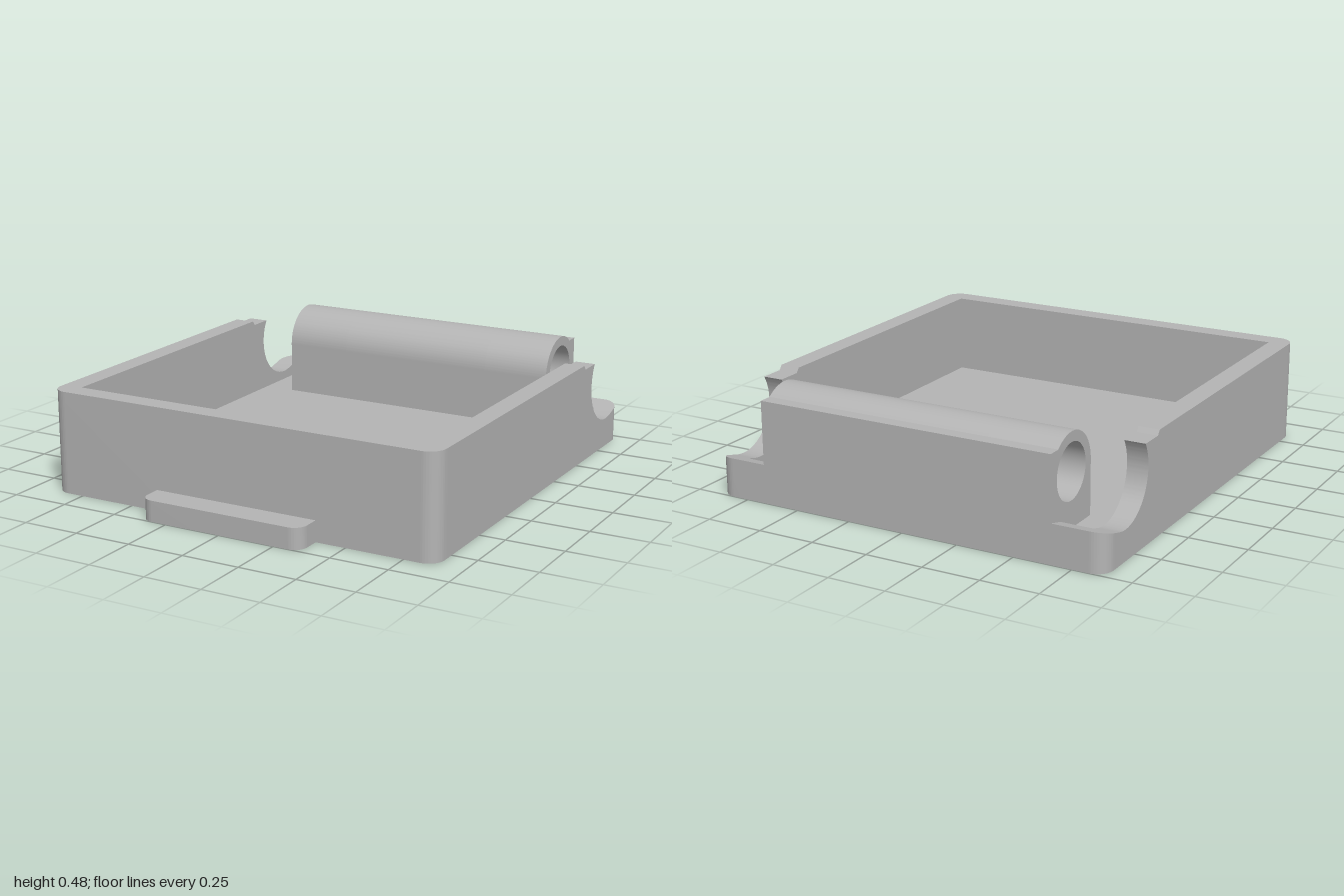
import * as THREE from 'three';
import { toCreasedNormals } from 'three/addons/utils/BufferGeometryUtils.js';

const W = 0.89, IN = 0.80;              // outer and inner half widths
const BACK = -1, FRONT = 0.88, WALL = 0.09;
const HEIGHT = 0.44, FLOOR = 0.09;
const HINGE = { u: 0.835, y: 0.32, r: 0.16, bore: 0.117, clear: 0.19, half: 0.66 };
const TILT = Math.PI / 12;              // slope of the slot behind the hinge

export function createModel() {
  const group = new THREE.Group();
  group.name = 'hingedTray';
  const grey = new THREE.MeshStandardMaterial({ color: 0xb4b4b4 });
  grey.name = 'grey';

  const add = (name, geo) => {
    const mesh = new THREE.Mesh(toCreasedNormals(geo, 0.5), grey);
    mesh.name = name;
    group.add(mesh);
  };
  const extrude = (shape, depth) =>
    new THREE.ExtrudeGeometry(shape, { depth, bevelEnabled: false, curveSegments: 32 });
  // side profile (u = -z, v = y) swept from x0 to x1
  const sweepX = (shape, x0, x1) => extrude(shape, x1 - x0).rotateY(Math.PI / 2).translate(x0, 0, 0);
  // plan outline (u = x, v = -z) raised from the ground
  const raise = (shape, h) => extrude(shape, h).rotateX(-Math.PI / 2);

  // bar with its two front corners rounded
  const roundedBar = (half, z0, z1, r, h) => {
    const s = new THREE.Shape();
    s.moveTo(half, -z0);
    s.lineTo(-half, -z0);
    s.lineTo(-half, -z1 + r);
    s.absarc(-half + r, -z1 + r, r, Math.PI, Math.PI * 1.5, false);
    s.absarc(half - r, -z1 + r, r, Math.PI * 1.5, Math.PI * 2, false);
    s.closePath();
    return raise(s, h);
  };

  // floor, front wall and front tab
  const z0 = BACK + 0.08, z1 = FRONT - WALL;
  add('floor', new THREE.BoxGeometry(IN * 2, FLOOR, z1 - z0).translate(0, FLOOR / 2, (z0 + z1) / 2));
  add('frontWall', roundedBar(W, z1, FRONT, 0.07, HEIGHT));
  add('frontTab', roundedBar(0.37, FRONT, 1, 0.055, 0.09));

  // side walls with the round clearance slot and a small step
  const tu = HINGE.u + HINGE.clear * Math.sin(TILT);
  const ty = HINGE.y - HINGE.clear * Math.cos(TILT);
  const slopeY = (u) => ty + (u - tu) * Math.tan(TILT);
  const side = new THREE.Shape();
  side.moveTo(-z1, 0);
  side.lineTo(-z0, 0);
  side.lineTo(-z0, slopeY(-z0));
  side.lineTo(tu, ty);
  side.absarc(HINGE.u, HINGE.y, HINGE.clear, TILT - Math.PI / 2 - 2 * TILT + 2 * TILT,
    Math.PI - Math.asin(0.1 / HINGE.clear), true);
  side.lineTo(0.565, 0.42);
  side.lineTo(0.55, HEIGHT);
  side.lineTo(-z1, HEIGHT);
  side.closePath();
  add('leftWall', sweepX(side, IN, W));
  add('rightWall', sweepX(side, -W, -IN));

  // low back corners, their tops following the slot's slope
  for (const m of [1, -1]) {
    const r = 0.07, s = new THREE.Shape();
    s.moveTo(m * HINGE.half, -z0);
    s.lineTo(m * W, -z0);
    s.lineTo(m * W, 1 - r);
    s.absarc(m * (W - r), 1 - r, r, m > 0 ? 0 : Math.PI, Math.PI / 2, m < 0);
    s.lineTo(m * HINGE.half, 1);
    s.closePath();
    const geo = raise(s, 0.1), p = geo.attributes.position;
    for (let i = 0; i < p.count; i++) if (p.getY(i) > 0.05) p.setY(i, slopeY(-p.getZ(i)));
    add(m > 0 ? 'leftBackCorner' : 'rightBackCorner', geo);
  }

  // back wall and hinge barrel, with a blind bore at each end
  const barrel = (bored) => {
    const s = new THREE.Shape();
    const du = Math.sqrt(HINGE.r ** 2 - (HEIGHT - HINGE.y) ** 2);
    s.moveTo(1, 0);
    s.lineTo(1, HEIGHT);
    s.lineTo(HINGE.u + du, HEIGHT);
    s.absarc(HINGE.u, HINGE.y, HINGE.r, Math.atan2(HEIGHT - HINGE.y, du), Math.PI, false);
    s.lineTo(HINGE.u - HINGE.r, FLOOR);
    s.lineTo(-z0, FLOOR);
    s.lineTo(-z0, 0);
    s.closePath();
    if (bored) s.holes.push(new THREE.Path().absarc(HINGE.u, HINGE.y, HINGE.bore, 0, Math.PI * 2, true));
    return s;
  };
  const solid = 0.36;
  add('hingeCentre', sweepX(barrel(false), -solid, solid));
  add('leftHingeEnd', sweepX(barrel(true), solid, HINGE.half));
  add('rightHingeEnd', sweepX(barrel(true), -HINGE.half, -solid));

  return group;
}
